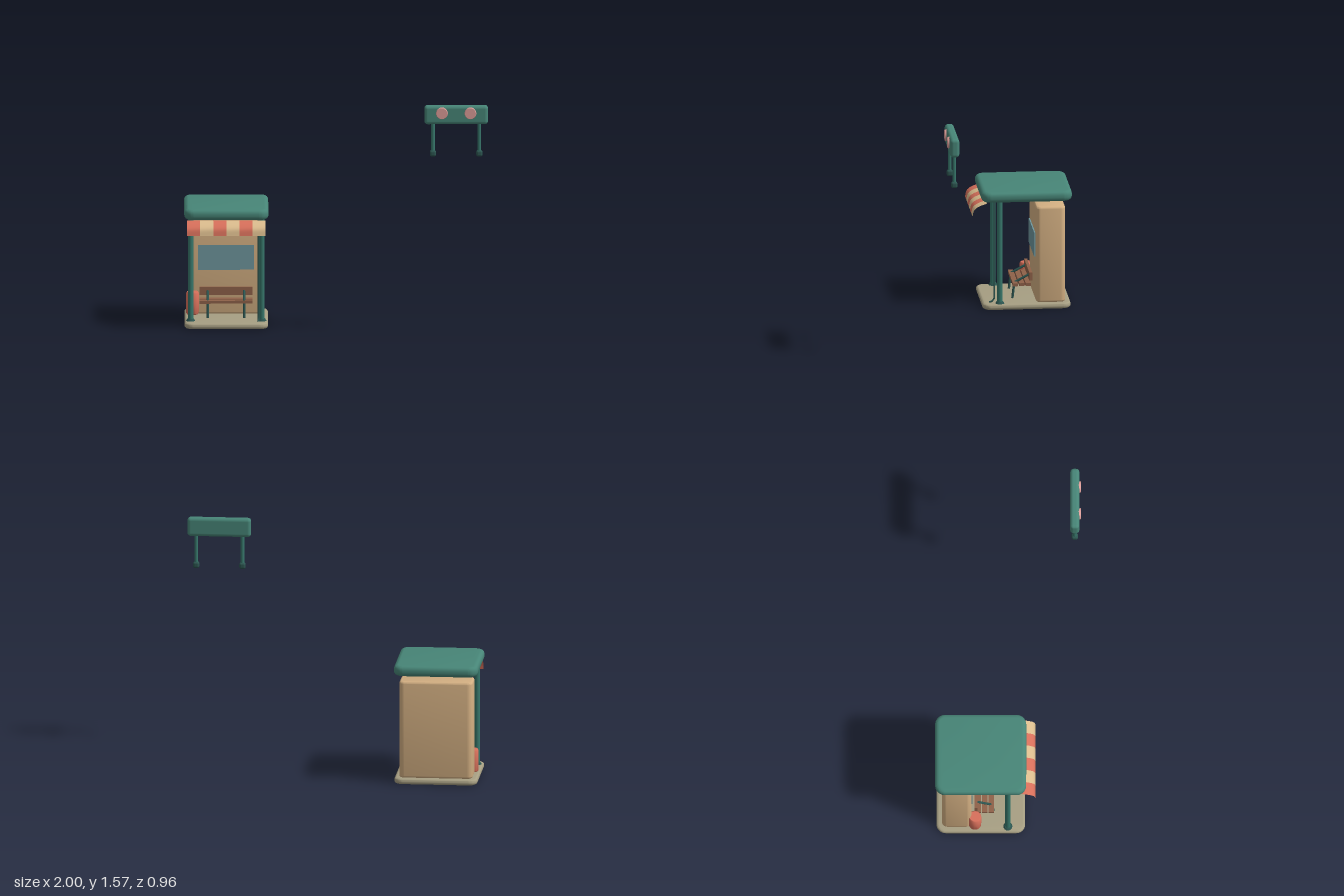
import * as THREE from 'three';
import { toCreasedNormals } from 'three/addons/utils/BufferGeometryUtils.js';
import { RoundedBoxGeometry } from 'three/addons/geometries/RoundedBoxGeometry.js';

const mat = (name, color, side = THREE.FrontSide) => {
  const m = new THREE.MeshStandardMaterial({ color, side });
  m.name = name;
  return m;
};

// Horizontal slab with rounded corners and rounded rims, bottom at y = 0
function slab(w, h, d, r, b) {
  const x = w / 2 - b, y = d / 2 - b, c = r - b;
  const s = new THREE.Shape();
  s.absarc(x - c, y - c, c, 0, Math.PI / 2);
  s.absarc(-x + c, y - c, c, Math.PI / 2, Math.PI);
  s.absarc(-x + c, -y + c, c, Math.PI, Math.PI * 1.5);
  s.absarc(x - c, -y + c, c, Math.PI * 1.5, Math.PI * 2);
  const g = new THREE.ExtrudeGeometry(s, {
    depth: h - 2 * b, bevelEnabled: true, bevelThickness: b, bevelSize: b, bevelSegments: 4, curveSegments: 6,
  });
  g.rotateX(-Math.PI / 2).translate(0, b, 0);
  return toCreasedNormals(g, 0.6);
}

export function createModel() {
  const root = new THREE.Group();
  root.name = 'busShelter';

  const green = mat('roofGreen', 0x478577);
  const metal = mat('postGreen', 0x37776b);
  const dark = mat('darkMetal', 0x2c5550);
  const wallTan = mat('wallTan', 0xd3af82);
  const stone = mat('baseStone', 0xa69e82);
  const coral = mat('coral', 0xd8705b, THREE.DoubleSide);
  const cream = mat('cream', 0xdcbd8e, THREE.DoubleSide);
  const glass = mat('windowBlue', 0x6f979e);
  const wood = mat('benchWood', 0x8f6249);
  const pink = mat('lampPink', 0xdb9c98);

  const add = (parent, name, geo, material, x = 0, y = 0, z = 0) => {
    const m = new THREE.Mesh(geo, material);
    m.name = name;
    m.position.set(x, y, z);
    parent.add(m);
    return m;
  };
  const box = (w, h, d) => new THREE.BoxGeometry(w, h, d);
  const cyl = (r, h, r2 = r) => new THREE.CylinderGeometry(r, r2, h, 16);
  const tube = (points, r) => new THREE.TubeGeometry(
    new THREE.CatmullRomCurve3(points.map((p) => new THREE.Vector3(...p)), false, 'catmullrom', 0.1), 32, r, 8);

  // Shelter, with x measured from its own centre line
  const shelter = new THREE.Group();
  shelter.name = 'shelter';
  shelter.position.x = -0.7225;
  root.add(shelter);
  add(shelter, 'basePlatform', slab(0.55, 0.038, 0.584, 0.06, 0.016), stone, 0, 0, -0.178);
  add(shelter, 'backWall', slab(0.485, 0.652, 0.195, 0.035, 0.016), wallTan, 0, 0.036, -0.3375);
  add(shelter, 'roof', slab(0.555, 0.07, 0.6, 0.065, 0.028), green, 0, 0.73, -0.179);
  add(shelter, 'soffit', box(0.46, 0.008, 0.5), dark, 0, 0.729, -0.18);
  add(shelter, 'windowPane', box(0.37, 0.165, 0.008), glass, -0.002, 0.418, -0.236);

  // Posts, their feet and the ceiling lights
  for (const s of [-1, 1]) {
    add(shelter, 'post', cyl(0.018, 0.7), metal, s * 0.235, 0.388, 0);
    add(shelter, 'postFoot', cyl(0.022, 0.014, 0.03), dark, s * 0.235, 0.045, 0);
    add(shelter, 'ceilingLight', cyl(0.042, 0.01), cream, s * 0.165, 0.722, -0.033);
  }

  // Drain pipe with a kicked-out end
  add(shelter, 'drainPipe', tube([[0.212, 0.73, 0.035], [0.212, 0.4, 0.035], [0.212, 0.07, 0.035],
    [0.212, 0.05, 0.045], [0.212, 0.041, 0.068]], 0.006), dark);

  // Curved awning in alternating stripes
  const curve = new THREE.CatmullRomCurve3([[0.727, 0.085], [0.706, 0.142], [0.682, 0.172], [0.64, 0.183]]
    .map(([y, z]) => new THREE.Vector3(0, y, z)));
  const stripeW = 0.518 / 6;
  for (let i = 0; i < 6; i++) {
    const g = new THREE.PlaneGeometry(stripeW, 1, 1, 10);
    const p = g.attributes.position;
    for (let k = 0; k < p.count; k++) {
      const c = curve.getPoint(0.5 - p.getY(k));
      p.setXYZ(k, p.getX(k), c.y, c.z);
    }
    g.computeVertexNormals();
    add(shelter, 'awningStripe', g, i % 2 ? cream : coral, (i - 2.5) * stripeW, 0, 0);
  }

  // Bench
  const bench = new THREE.Group();
  bench.name = 'bench';
  shelter.add(bench);
  for (const z of [-0.11, -0.152, -0.194]) {
    add(bench, 'seatSlat', box(0.35, 0.02, 0.034), wood, -0.002, 0.144, z);
  }
  add(bench, 'backrest', box(0.35, 0.054, 0.02), wood, -0.002, 0.199, -0.211);
  for (const x of [-0.122, 0.118]) {
    add(bench, 'benchLeg', tube([[x, 0.038, -0.094], [x, 0.147, -0.107]], 0.008), dark);
    add(bench, 'benchArm', tube([[x, 0.147, -0.107], [x, 0.203, -0.21]], 0.008), dark);
  }

  // Litter bin, a turned profile with softened rims
  const binProfile = [[0, 0], [0.036, 0], [0.041, 0.006], [0.043, 0.075], [0.042, 0.142], [0.036, 0.152], [0, 0.152]]
    .map(([r, y]) => new THREE.Vector2(r, y));
  add(shelter, 'litterBin', toCreasedNormals(new THREE.LatheGeometry(binProfile, 20), 0.7), coral, -0.222, 0.042, -0.217);

  // Raised sign on two short posts
  const sign = new THREE.Group();
  sign.name = 'sign';
  sign.position.set(0.79, 0, 0.44);
  root.add(sign);
  add(sign, 'signPanel', new RoundedBoxGeometry(0.42, 0.126, 0.06, 4, 0.022), green, 0, 1.502, 0);
  for (const s of [-1, 1]) {
    add(sign, 'signPost', cyl(0.012, 0.21), metal, s * 0.153, 1.345, 0);
    add(sign, 'signFoot', new RoundedBoxGeometry(0.042, 0.042, 0.042, 3, 0.014), dark, s * 0.153, 1.243, 0);
    add(sign, 'signLamp', cyl(0.036, 0.014, 0.041).rotateX(Math.PI / 2), pink, s * 0.094, 1.515, 0.033);
  }
  return root;
}
